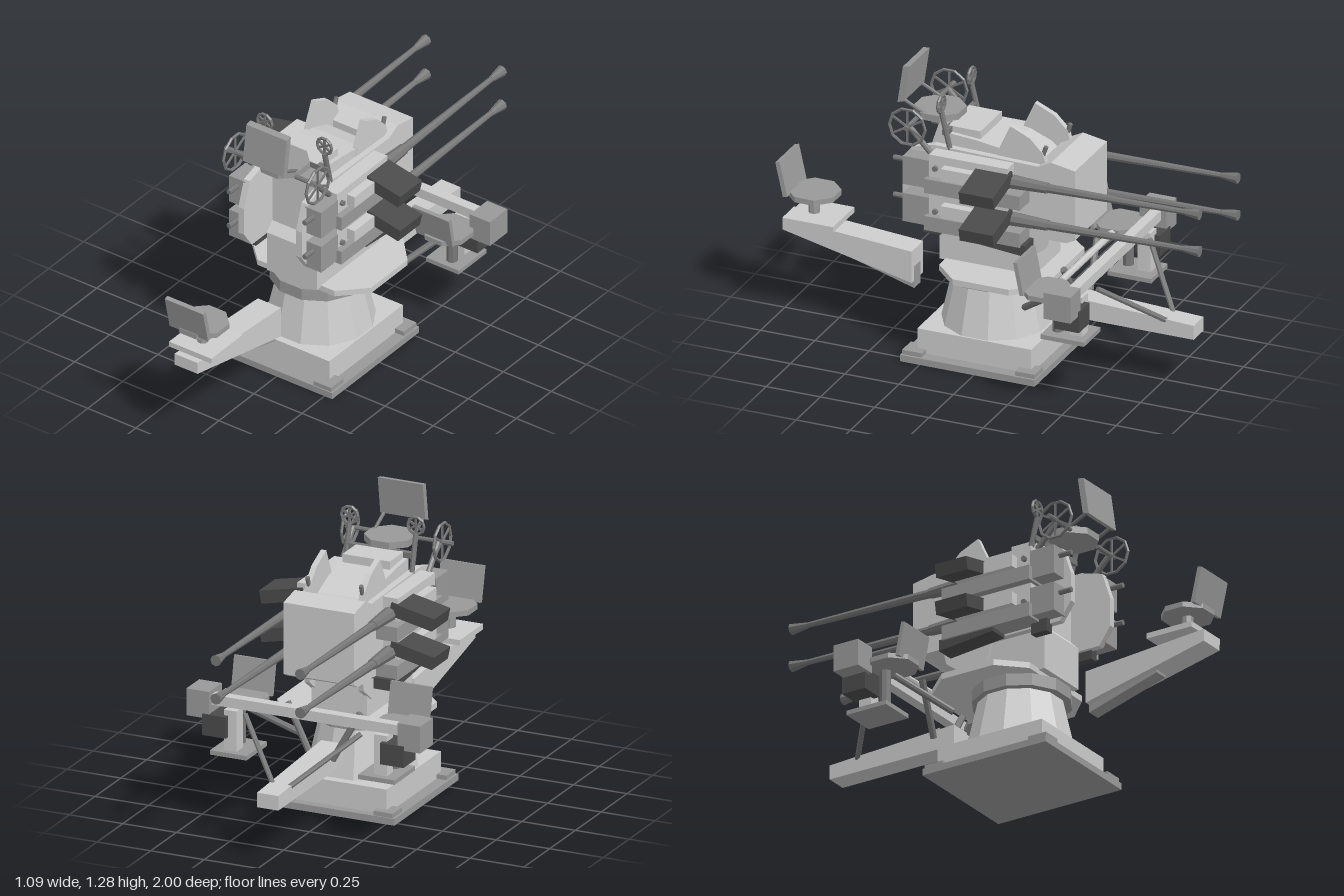
import * as THREE from 'three';

const mat = (color) => new THREE.MeshStandardMaterial({ color, flatShading: true });

export function createModel() {
  const root = new THREE.Group();
  const grey = mat(0xcccccc), mid = mat(0x999999), steel = mat(0x777777), dark = mat(0x4a4a4a);

  const add = (name, geo, m = grey, x = 0, y = 0, z = 0) => {
    const mesh = new THREE.Mesh(geo, m);
    mesh.name = name;
    mesh.position.set(x, y, z);
    root.add(mesh);
    return mesh;
  };
  // Box given by its min and max on each axis
  const box = (name, [x0, x1], [y0, y1], [z0, z1], m) =>
    add(name, new THREE.BoxGeometry(Math.abs(x1 - x0), y1 - y0, z1 - z0), m,
      (x0 + x1) / 2, (y0 + y1) / 2, (z0 + z1) / 2);
  // Round bar between two points
  const rod = (name, a, b, r0, r1 = r0, m = steel, sides = 8) => {
    const p = new THREE.Vector3(...a), q = new THREE.Vector3(...b), d = q.clone().sub(p);
    const mesh = add(name, new THREE.CylinderGeometry(r1, r0, d.length(), sides), m);
    mesh.position.copy(p).add(q).multiplyScalar(0.5);
    mesh.quaternion.setFromUnitVectors(new THREE.Vector3(0, 1, 0), d.normalize());
    return mesh;
  };
  // Side outline of [z, y] points, given a width along x
  const slab = (name, pts, width, x = 0, m = grey) => {
    const shape = new THREE.Shape(pts.map(([z, y]) => new THREE.Vector2(z, y)));
    const geo = new THREE.ExtrudeGeometry(shape, { depth: width, bevelEnabled: false });
    geo.translate(0, 0, -width / 2).rotateY(-Math.PI / 2);
    return add(name, geo, m, x);
  };
  const disc = (name, r, y0, y1, x, z, sides = 8, m = mid, r0 = r) => {
    const mesh = add(name, new THREE.CylinderGeometry(r, r0, y1 - y0, sides), m, x, (y0 + y1) / 2, z);
    mesh.rotation.y = Math.PI / sides;
    return mesh;
  };

  // Base and pedestal
  box('basePlate', [-0.29, 0.29], [0, 0.03], [-0.28, 0.34], mid);
  for (const s of [-1, 1])
    for (const z of [-0.23, 0.29])
      box('cornerPad', [s * 0.19, s * 0.28], [0.03, 0.05], [z - 0.045, z + 0.045], mid);
  box('baseBlock', [-0.235, 0.235], [0.03, 0.14], [-0.24, 0.285]);
  disc('pedestal', 0.185, 0.14, 0.36, 0, 0.025, 12, grey, 0.235);
  disc('bearingRing', 0.215, 0.355, 0.41, 0, 0.03, 12, mid);

  // Turning platform
  const floor = new THREE.Shape([
    [-0.31, 0.17], [-0.2, 0.29], [0.2, 0.29], [0.31, 0.17],
    [0.31, -0.09], [0.2, -0.2], [-0.2, -0.2], [-0.31, -0.09],
  ].map((p) => new THREE.Vector2(...p)));
  add('platform', new THREE.ExtrudeGeometry(floor, { depth: 0.027, bevelEnabled: false })
    .rotateX(-Math.PI / 2), grey, 0, 0.41, 0);

  // Central housing with sloping arched top
  slab('housing', [[0.23, 0.43], [0.23, 0.62], [0.19, 0.66], [0.19, 1.02], [0.06, 1.01],
    [-0.08, 0.99], [-0.18, 0.95], [-0.26, 0.88], [-0.26, 0.62], [-0.21, 0.6], [-0.21, 0.43]], 0.26);
  box('housingCap', [-0.11, 0.11], [1.0, 1.045], [0.05, 0.2]);
  slab('frontBox', [[-0.22, 0.63], [-0.22, 0.95], [-0.3, 0.99], [-0.41, 0.97], [-0.41, 0.65], [-0.37, 0.63]], 0.33);

  for (const s of [-1, 1]) {
    // Elevation arc, and cheek plate beside the housing
    slab('elevationArc', [[0.02, 0.8], [-0.05, 1.0], [-0.1, 1.11], [-0.19, 1.07], [-0.25, 1.01],
      [-0.31, 0.8], [-0.26, 0.57], [-0.18, 0.51], [-0.07, 0.475]], 0.025, s * 0.126);
    slab('cheekPlate', [[0.385, 0.69], [0.385, 0.82], [0.345, 0.94], [0.24, 0.97], [-0.24, 0.96],
      [-0.3, 0.85], [-0.3, 0.69], [-0.2, 0.61], [0.33, 0.61]], 0.03, s * 0.15);
    for (const y of [0.7, 0.9])
      rod('plateBolt', [s * 0.16, y, 0.2], [s * 0.25, y, 0.2], 0.012);

    // Upper and lower gun
    for (const y of [0.885, 0.713]) {
      const x = s * 0.197;
      box('breechBlock', [s * 0.155, s * 0.24], [y - 0.085, y + 0.045], [0.23, 0.35], mid);
      box('receiver', [s * 0.16, s * 0.235], [y - 0.03, y + 0.072], [-0.13, 0.23]);
      box('cradle', [s * 0.165, s * 0.265], [y - 0.095, y - 0.03], [-0.2, 0.24], mid);
      box('feedRail', [s * 0.23, s * 0.275], [y - 0.02, y + 0.035], [-0.13, 0.16]);
      rod('recoilRod', [x, y + 0.01, 0.35], [x, y + 0.01, 0.41], 0.012);
      rod('barrelSleeve', [x, y, -0.13], [x, y, -0.3], 0.032, 0.024);
      rod('barrel', [x, y, -0.3], [x, y + 0.012, -0.93], 0.02, 0.012);
      rod('flashHider', [x, y + 0.012, -0.92], [x, y + 0.013, -1.0], 0.013, 0.025);
      const mag = box('magazine', [s * 0.2, s * 0.405], [y - 0.025, y + 0.033], [-0.14, 0.017], dark);
      mag.position.y = y + 0.004;
      mag.rotation.z = -s * 0.21;
    }
    slab('ejectionChute', [[0.05, 0.62], [0.05, 0.6], [-0.22, 0.575], [-0.22, 0.625]], 0.09, s * 0.21, dark);
    box('lowerStop', [s * 0.15, s * 0.19], [0.57, 0.63], [0.2, 0.28], dark);

    // Aiming controls
    const wheel = (name, R, x, y, z, turned) => {
      const g = new THREE.Group();
      g.name = name;
      g.add(new THREE.Mesh(new THREE.TorusGeometry(R, 0.007, 5, 10), steel));
      for (let i = 0; i < 3; i++) {
        const spoke = new THREE.Mesh(new THREE.BoxGeometry(R * 2, 0.009, 0.007), steel);
        spoke.rotation.z = Math.PI / 2 + (i * Math.PI) / 3;
        g.add(spoke);
      }
      g.position.set(x, y, z);
      if (turned) g.rotation.y = Math.PI / 2;
      root.add(g);
    };
    wheel('elevationWheel', 0.083, s * 0.215, 1.055, 0.34, true);
    wheel('traverseWheel', 0.038, s * 0.155, 1.16, 0.21, false);
    rod('wheelAxle', [s * 0.1, 1.055, 0.34], [s * 0.235, 1.055, 0.34], 0.01);
    rod('wheelStrut', [s * 0.2, 1.055, 0.34], [s * 0.2, 0.95, 0.24], 0.013);
    rod('traversePost', [s * 0.155, 0.96, 0.17], [s * 0.155, 1.125, 0.21], 0.012);
    rod('sightPost', [s * 0.125, 0.97, -0.235], [s * 0.125, 1.04, -0.26], 0.01);
    rod('topSeatStrut', [s * 0.09, 1.06, 0.3], [s * 0.09, 1.12, 0.42], 0.008);

    // Side seat with footrest
    disc('sideSeat', 0.112, 0.49, 0.512, s * 0.37, -0.375);
    const back = box('sideSeatBack', [s * 0.27, s * 0.46], [0.495, 0.645], [-0.29, -0.272], mid);
    back.rotation.x = 0.2;
    rod('sideSeatPost', [s * 0.36, 0.32, -0.42], [s * 0.36, 0.49, -0.42], 0.025);
    box('footrest', [s * 0.26, s * 0.43], [0.3, 0.32], [-0.57, -0.37], mid);
    box('footrestHanger', [s * 0.32, s * 0.38], [0.32, 0.5], [-0.54, -0.48]);
    box('gearBox', [s * 0.36, s * 0.47], [0.38, 0.475], [-0.565, -0.45], dark);
    box('endBox', [s * 0.44, s * 0.545], [0.455, 0.575], [-0.56, -0.435], mid);

    // Frame struts
    rod('rearStay', [s * 0.02, 0.28, -0.79], [s * 0.27, 0.5, -0.56], 0.012);
    rod('lowerStrut', [s * 0.19, 0.31, -0.19], [s * 0.35, 0.465, -0.38], 0.015);
    rod('innerStrut', [s * 0.05, 0.29, -0.38], [s * 0.17, 0.51, -0.36], 0.015);
  }
  rod('wheelHandle', [-0.21, 1.055, 0.34], [-0.265, 1.055, 0.34], 0.012);
  box('controlBar', [-0.16, 0.16], [1.02, 1.045], [0.18, 0.205], steel);

  // Rear frame
  box('crossbar', [-0.44, 0.44], [0.51, 0.555], [-0.535, -0.49]);
  rod('frontCrossbar', [-0.26, 0.5, -0.39], [0.26, 0.5, -0.39], 0.015, 0.015, grey);
  slab('rearBoom', [[-0.28, 0.235], [-0.28, 0.33], [-0.905, 0.3], [-0.905, 0.235]], 0.1);

  // Front boom with seat
  slab('frontBoom', [[0.985, 0.445], [0.39, 0.4], [0.39, 0.255], [0.985, 0.39]], 0.12);
  slab('boomRib', [[0.73, 0.34], [0.39, 0.32], [0.39, 0.22], [0.73, 0.32]], 0.066, 0, mid);
  box('seatPlate', [-0.11, 0.11], [0.445, 0.47], [0.73, 0.955]);
  disc('seatPost', 0.025, 0.47, 0.55, 0, 0.865);
  disc('frontSeat', 0.115, 0.55, 0.574, 0, 0.865);
  slab('frontSeatBack', [[0.945, 0.565], [0.965, 0.56], [1.0, 0.715], [0.98, 0.72]], 0.2, 0, mid);

  // Top seat
  disc('topSeat', 0.112, 1.045, 1.075, 0, 0.285);
  slab('topSeatBack', [[0.405, 1.115], [0.435, 1.105], [0.41, 1.275], [0.38, 1.28]], 0.21, 0, mid);

  return root;
}
